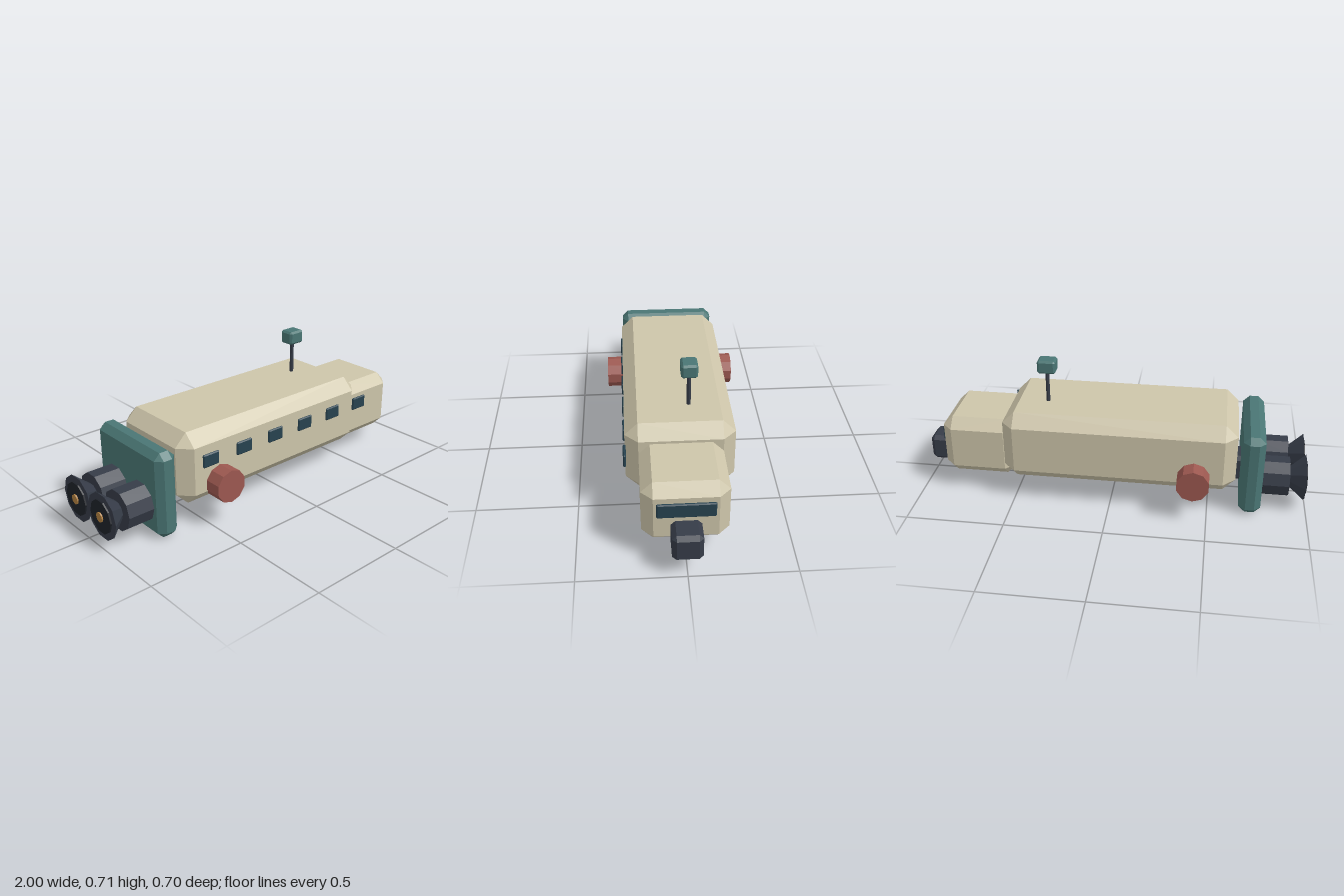
import * as THREE from 'three';
import { ConvexGeometry } from 'three/addons/geometries/ConvexGeometry.js';

const material = (color) => new THREE.MeshStandardMaterial({ color, flatShading: true });

// Box with flat chamfered edges, given by its min/max on each axis
function chamferBox([x0, x1], [y0, y1], [z0, z1], c) {
  const w = (x1 - x0) / 2, h = (y1 - y0) / 2, d = (z1 - z0) / 2;
  const points = [];
  for (const sx of [-1, 1]) for (const sy of [-1, 1]) for (const sz of [-1, 1]) {
    points.push(
      new THREE.Vector3(sx * w, sy * (h - c), sz * (d - c)),
      new THREE.Vector3(sx * (w - c), sy * h, sz * (d - c)),
      new THREE.Vector3(sx * (w - c), sy * (h - c), sz * d));
  }
  return new ConvexGeometry(points).translate((x0 + x1) / 2, (y0 + y1) / 2, (z0 + z1) / 2);
}

// Cylinder lying along x, from x0 (radius r0) to x1 (radius r1)
function cylinderX(x0, x1, r0, r1, sides = 10) {
  return new THREE.CylinderGeometry(r0, r1, x1 - x0, sides)
    .rotateZ(Math.PI / 2).translate((x0 + x1) / 2, 0, 0);
}

export function createModel() {
  const group = new THREE.Group();
  const beige = material(0xcdc5aa), teal = material(0x4a7674), dark = material(0x363c48);
  const red = material(0x9c5850), glass = material(0x27424f), copper = material(0xb08040);
  const black = material(0x1e2229);

  const add = (name, geometry, mat, parent = group) => {
    const mesh = new THREE.Mesh(geometry, mat);
    mesh.name = name;
    parent.add(mesh);
    return mesh;
  };

  // Body
  add('hull', chamferBox([-0.635, 0.555], [0.11, 0.479], [-0.263, 0.263], 0.063), beige);
  add('cabin', chamferBox([0.505, 0.885], [0.085, 0.405], [-0.2, 0.2], 0.053), beige);
  add('keel', chamferBox([-0.7, 1], [0.0845, 0.225], [-0.07, 0.07], 0.02), dark);
  add('sternPlate', chamferBox([-0.77, -0.66], [0, 0.437], [-0.257, 0.257], 0.032), teal);

  // Glazing: windshield and a row of windows on the front side only
  add('windshield', chamferBox([0.88, 0.896], [0.25, 0.325], [-0.133, 0.133], 0.005), glass);
  for (let i = 0; i < 6; i++) {
    const x = -0.478 + i * 0.2048;
    add('window', chamferBox([x - 0.047, x + 0.047], [0.302, 0.369], [0.258, 0.272], 0.005), glass);
  }

  // Antenna
  add('antennaMast', new THREE.CylinderGeometry(0.01, 0.01, 0.2, 8).translate(0.343, 0.56, -0.05), dark);
  add('antennaHead', chamferBox([0.295, 0.388], [0.645, 0.715], [-0.09, -0.01], 0.01), teal);

  for (const side of [-1, 1]) {
    // Side tanks
    add('sideTank', new THREE.CylinderGeometry(0.0835, 0.0835, 0.15, 10)
      .rotateX(Math.PI / 2).translate(-0.425, 0.2065, side * 0.275), red);

    // Engines
    const engine = new THREE.Group();
    engine.name = 'engine';
    engine.position.set(0, 0.158, side * 0.107);
    add('engineBody', cylinderX(-0.905, -0.74, 0.1025, 0.1025), dark, engine);
    add('nozzle', cylinderX(-0.985, -0.9, 0.118, 0.045), dark, engine);
    add('nozzleDisc', cylinderX(-0.993, -0.98, 0.085, 0.085), black, engine);
    add('burner', cylinderX(-1, -0.985, 0.025, 0.025), copper, engine);
    // CylinderGeometry's top end turns towards -x
    group.add(engine);
  }
  return group;
}
